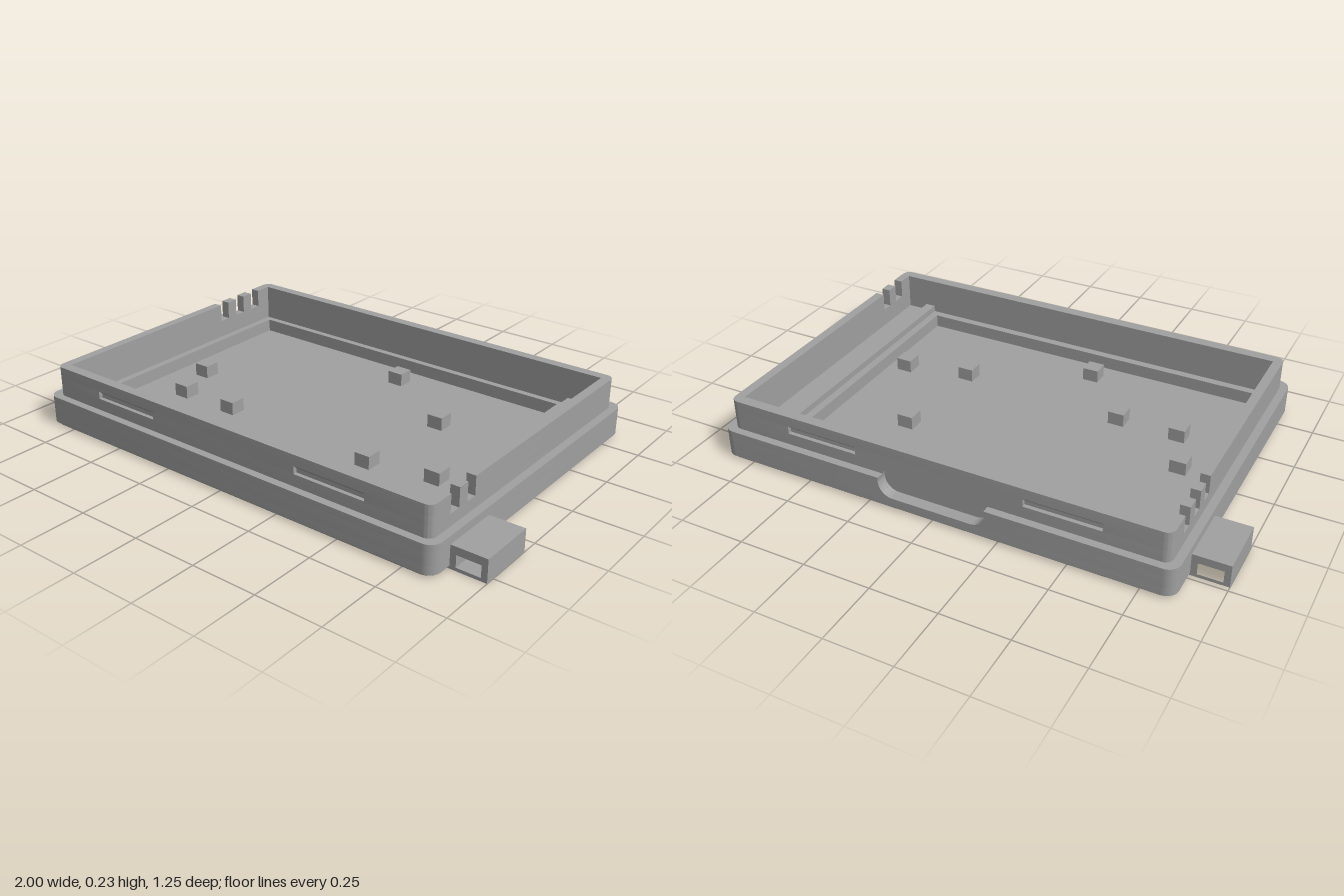
import * as THREE from 'three';
import { toCreasedNormals } from 'three/addons/utils/BufferGeometryUtils.js';

const V = (x, z) => new THREE.Vector2(x, z);
const grey = new THREE.MeshStandardMaterial({ color: 0xa0a0a0 });
grey.name = 'grey plastic';

// Rounded corner in quadrant q (0 = +x+z, then towards -x)
function corner(q, w, d, r) {
  const sx = q === 0 || q === 3 ? 1 : -1, sz = q < 2 ? 1 : -1;
  const pts = [];
  for (let i = 0; i <= 8; i++) {
    const a = (q + i / 8) * Math.PI / 2;
    pts.push(V(sx * (w - r) + r * Math.cos(a), sz * (d - r) + r * Math.sin(a)));
  }
  return pts;
}
const cut = (x0, x1, zOut, zIn) => [V(x0, zOut), V(x0, zIn), V(x1, zIn), V(x1, zOut)];
const rounded = (w, d, r, back = []) => [
  ...corner(0, w, d, r), ...corner(1, w, d, r), ...corner(2, w, d, r), ...back, ...corner(3, w, d, r)];
const rect = (x0, x1, z0, z1) => [V(x0, z0), V(x1, z0), V(x1, z1), V(x0, z1)];

// Plan outline (x, z) raised from y0 to y1
function layer(points, y0, y1, hole) {
  const shape = new THREE.Shape(points);
  if (hole) shape.holes.push(new THREE.Path(hole));
  return new THREE.ExtrudeGeometry(shape, { depth: y1 - y0, bevelEnabled: false })
    .rotateX(Math.PI / 2).translate(0, y1, 0);
}

export function createModel() {
  const model = new THREE.Group();
  const add = (name, geo) => {
    const mesh = new THREE.Mesh(toCreasedNormals(geo, 0.5), grey);
    mesh.name = name;
    model.add(mesh);
    return mesh;
  };
  const box = (name, w, h, d, x, y, z) => add(name, new THREE.BoxGeometry(w, h, d).translate(x, y, z));

  const W = 0.868, D = 0.624, LW = 0.838, LD = 0.595, IW = 0.803, ID = 0.556;
  const opening = rect(-IW, IW, -ID, ID);
  const recessZ = -0.58;

  // Floor with a chamfered lower edge
  const chamfer = layer(rounded(W, D, 0.045), 0, 0.01);
  const p = chamfer.attributes.position;
  for (let i = 0; i < p.count; i++) {
    if (p.getY(i) < 0.005) p.setXYZ(i, p.getX(i) * (W - 0.01) / W, 0, p.getZ(i) * (D - 0.01) / D);
  }
  add('floorChamfer', chamfer);
  add('floor', layer(rounded(W, D, 0.045), 0.01, 0.04));

  // Base walls, inner ledge and lower part of the lip, open at the back for the grip
  const baseOutline = rounded(W, D, 0.045, cut(-0.21, 0.21, -D, recessZ));
  add('ledge', layer(baseOutline, 0.04, 0.09, rect(-0.775, 0.65, -0.53, 0.525)));
  add('baseWall', layer(baseOutline, 0.09, 0.115, opening));
  add('lipLower', layer(rounded(LW, LD, 0.03, cut(-0.21, 0.21, -LD, recessZ)), 0.115, 0.16, opening));

  // Grip recess: outer panel cut by the lower part of a stadium, inner one by all of it
  const r = 0.055, cy = 0.1, cx = 0.15, a0 = Math.asin((0.115 - cy) / r), PI = Math.PI;
  const outer = new THREE.Shape();
  outer.moveTo(0.21, 0.115).lineTo(0.21, 0.04).lineTo(-0.21, 0.04).lineTo(-0.21, 0.115);
  outer.absarc(-cx, cy, r, PI - a0, 1.5 * PI, false);
  outer.absarc(cx, cy, r, 1.5 * PI, 2 * PI + a0, false);
  const inner = new THREE.Shape(rect(-0.21, 0.21, 0.04, 0.16));
  const stadium = new THREE.Path();
  stadium.absarc(-cx, cy, r, 0.5 * PI, 1.5 * PI, false);
  stadium.absarc(cx, cy, r, 1.5 * PI, 2.5 * PI, false);
  stadium.closePath();
  inner.holes.push(stadium);
  const panel = (shape, z0, z1) => new THREE.ExtrudeGeometry(shape,
    { depth: z1 - z0, bevelEnabled: false, curveSegments: 14 }).translate(0, 0, z0);
  add('gripOuter', panel(outer, -D, -LD));
  add('gripInner', panel(inner, -LD, recessZ));

  // Upper lip in two halves, split by the cable notches; the lower band has latch slots
  const slots = [[-0.61, -0.33], [0.31, 0.59]], slotDepth = 0.015;
  const lipHalves = (y0, y1, slotted) => {
    const zIn = LD - slotDepth;
    const front = slotted ? [...slots].reverse().flatMap(([a, b]) => cut(b, a, LD, zIn)) : [];
    const back = slotted ? slots.flatMap(([a, b]) => cut(a, b, -LD, -zIn)) : [];
    add('lipFront', layer([V(LW, 0.494), ...corner(0, LW, LD, 0.03), ...front,
      ...corner(1, LW, LD, 0.03), V(-LW, -0.255), V(-IW, -0.255), V(-IW, ID), V(IW, ID), V(IW, 0.494)], y0, y1));
    add('lipBack', layer([V(-LW, -0.49), ...corner(2, LW, LD, 0.03), ...back,
      ...corner(3, LW, LD, 0.03), V(LW, 0.355), V(IW, 0.355), V(IW, -ID), V(-IW, -ID), V(-IW, -0.49)], y0, y1));
  };
  lipHalves(0.16, 0.19, true);
  lipHalves(0.19, 0.23, false);

  // Sloped roof inside each latch slot
  for (const [a, b] of slots) {
    for (const s of [1, -1]) {
      const tri = new THREE.Shape([V(0, 0.175), V(slotDepth, 0.19), V(0, 0.19)]);
      const geo = new THREE.ExtrudeGeometry(tri, { depth: b - a, bevelEnabled: false })
        .translate(0, 0, -(b - a) / 2).rotateY(-s * PI / 2)
        .translate((a + b) / 2, 0, s * (LD - slotDepth));
      add('slotRoof', geo);
    }
  }

  // Teeth left standing between the notches
  const tooth = (side, z0, z1) => box('notchTooth', LW - IW, 0.07, z1 - z0,
    side * (LW + IW) / 2, 0.195, (z0 + z1) / 2);
  tooth(1, 0.4, 0.446);
  tooth(-1, -0.443, -0.395);
  tooth(-1, -0.347, -0.3);

  // Rib along one end of the ledge
  box('ledgeRib', 0.04, 0.025, 2 * ID, 0.7, 0.1025, 0);

  // Standoff blocks on the floor
  const blocks = [[0.005, -0.425], [0.35, -0.19], [-0.655, -0.005], [-0.58, 0.185],
    [-0.34, 0.185], [0.32, 0.215], [0.575, 0.165], [-0.125, 0.435]];
  for (const [x, z] of blocks) box('standoff', 0.062, 0.05, 0.062, x, 0.065, z);

  // Strap lugs with a slot running front to back
  for (const [s, z0, z1] of [[1, 0.315, 0.535], [-1, -0.482, -0.262]]) {
    const lug = new THREE.Shape(rect(s * 0.86, s, 0, 0.085));
    lug.holes.push(new THREE.Path(rect(s * 0.89, s * 0.978, 0.012, 0.056)));
    add('strapLug', panel(lug, z0, z1));
  }
  return model;
}
